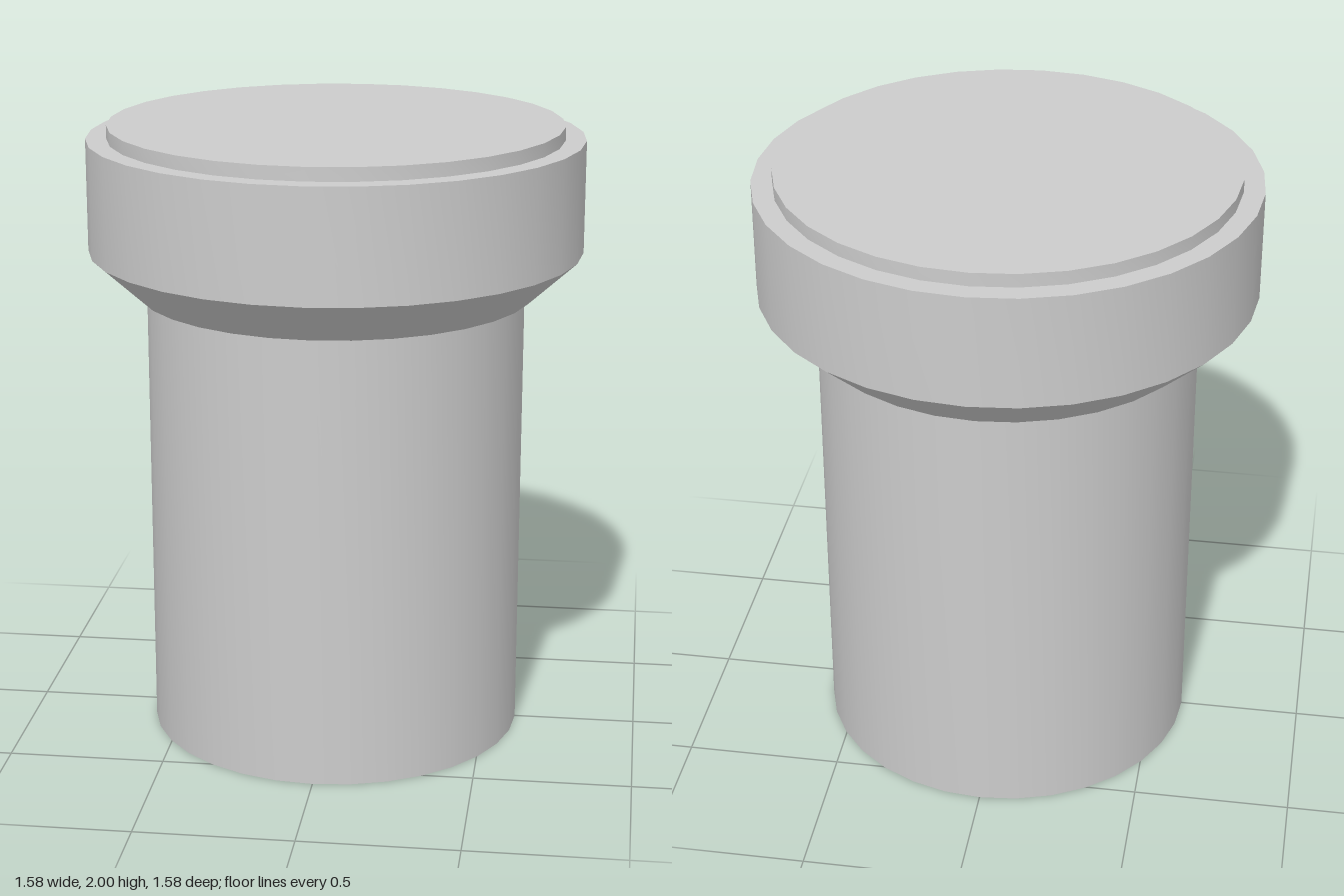
import * as THREE from 'three';
import { toCreasedNormals } from 'three/addons/utils/BufferGeometryUtils.js';

const SIDES = 32;

// Turned part from [radius, height] pairs, listed from bottom to top
function turned(name, profile, material) {
  const points = profile.map(([r, y]) => new THREE.Vector2(r, y));
  const geometry = toCreasedNormals(new THREE.LatheGeometry(points, SIDES), Math.PI / 6);
  const mesh = new THREE.Mesh(geometry, material);
  mesh.name = name;
  return mesh;
}

export function createModel() {
  const model = new THREE.Group();
  model.name = 'flangedPin';
  const grey = new THREE.MeshStandardMaterial({ color: 0xcccccc });

  model.add(
    // Straight shaft with a closed base
    turned('shaft', [[0, 0], [0.605, 0], [0.605, 1.46]], grey),
    // Wide head with a narrow underside lip and a chamfer
    turned('head', [[0.605, 1.46], [0.635, 1.46], [0.788, 1.6], [0.788, 1.957], [0.722, 1.957]], grey),
    // Raised disc on top
    turned('topDisc', [[0.722, 1.957], [0.722, 2], [0, 2]], grey)
  );
  return model;
}
